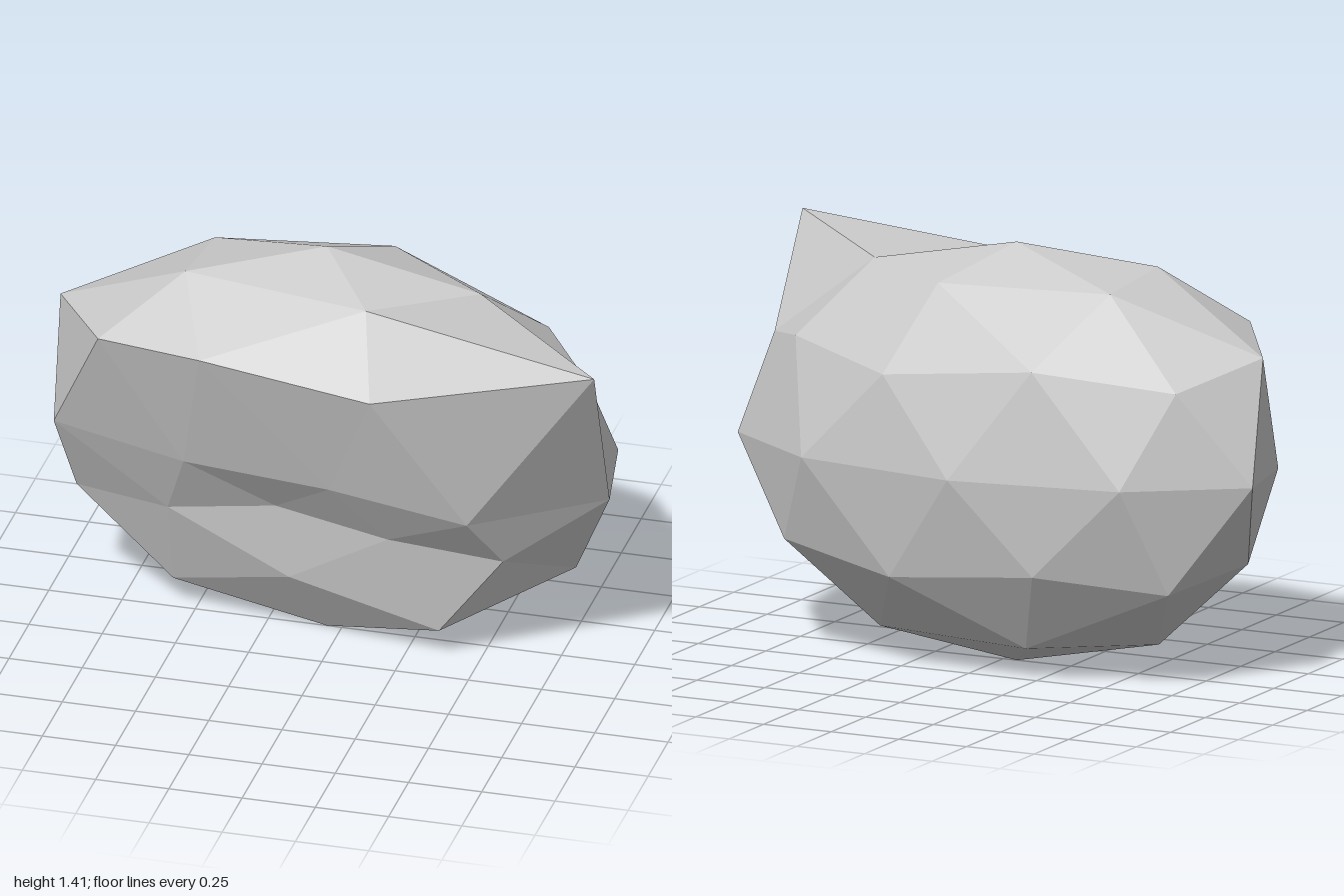
import * as THREE from 'three';

export function createModel() {
  const group = new THREE.Group();
  group.name = 'boulder';
  const stone = new THREE.MeshStandardMaterial({ color: 0xcacaca });
  stone.name = 'light stone grey';

  // Regular ellipsoid point: angle runs from +x towards +z
  const point = (deg, height) => {
    const t = THREE.MathUtils.degToRad(deg);
    const r = Math.sqrt(Math.max(0, 1 - height * height));
    return [-0.05 + r * Math.cos(t), 0.706 + 0.706 * height, 0.508 * r * Math.sin(t)];
  };
  const ring = (count, start, height) =>
    Array.from({ length: count }, (_, i) => point(start + (360 / count) * i, height));

  // Rings of a once-subdivided icosahedron, from top to bottom
  const top = point(0, 1);
  const crown = ring(5, 0, 0.851);
  const shoulder = ring(5, 0, 0.447);
  const shoulderMid = ring(5, 36, 0.526);
  const belt = ring(10, 18, 0);
  const hip = ring(5, 36, -0.447);
  const hipMid = ring(5, 0, -0.526);
  const foot = ring(5, 36, -0.851);
  const bottom = point(0, -1);

  // Jutting ledge on the upper front, with its tip at the left
  crown[1] = [0.15, 1.325, 0.25];
  crown[2] = [-0.49, 1.34, 0.16];
  shoulder[1] = [0.22, 1.095, 0.46];
  shoulder[2] = [-0.74, 1.145, 0.34];
  shoulderMid[0] = [1, 1.32, 0.508];
  shoulderMid[1] = [-0.37, 1.16, 0.43];
  shoulderMid[2] = [-0.96, 1.11, 0];

  // Hollow below the ledge
  belt[0] = [0.955, 0.685, 0.15];
  belt[1] = [0.52, 0.625, 0.345];
  belt[2] = [0.04, 0.675, 0.31];
  belt[3] = [-0.47, 0.685, 0.26];
  belt[4] = [-0.945, 0.71, 0.14];
  hip[0] = [0.605, 0.43, 0.2];
  hip[1] = [-0.18, 0.515, 0.17];
  hip[2] = [-0.905, 0.41, 0];
  hipMid[1] = [0.21, 0.455, 0.195];
  hipMid[2] = [-0.56, 0.435, 0.125];
  foot[0] = [0.37, 0.11, 0.14];
  foot[1] = [-0.14, 0.245, 0.15];

  // Sixteen facets in each of five sectors
  const positions = [];
  const face = (...corners) => corners.forEach((c) => positions.push(...c));
  for (let k = 0; k < 5; k++) {
    const n = (k + 1) % 5;
    const e0 = belt[(2 * k + 9) % 10], e1 = belt[2 * k], e2 = belt[2 * k + 1];
    face(top, crown[n], crown[k]);
    face(crown[k], shoulderMid[k], shoulder[k]);
    face(crown[k], crown[n], shoulderMid[k]);
    face(crown[n], shoulder[n], shoulderMid[k]);
    face(shoulder[k], e1, e0);
    face(shoulder[k], shoulderMid[k], e1);
    face(shoulderMid[k], e2, e1);
    face(shoulderMid[k], shoulder[n], e2);
    face(e1, e2, hip[k]);
    face(e0, e1, hipMid[k]);
    face(e1, hip[k], hipMid[k]);
    face(e2, hipMid[n], hip[k]);
    face(hipMid[k], hip[k], foot[k]);
    face(hip[k], hipMid[n], foot[k]);
    face(hipMid[n], foot[n], foot[k]);
    face(foot[k], foot[n], bottom);
  }

  // Unshared corners give flat facets
  const geometry = new THREE.BufferGeometry();
  geometry.setAttribute('position', new THREE.Float32BufferAttribute(positions, 3));
  geometry.computeVertexNormals();
  const rock = new THREE.Mesh(geometry, stone);
  rock.name = 'rock';
  group.add(rock);
  return group;
}
